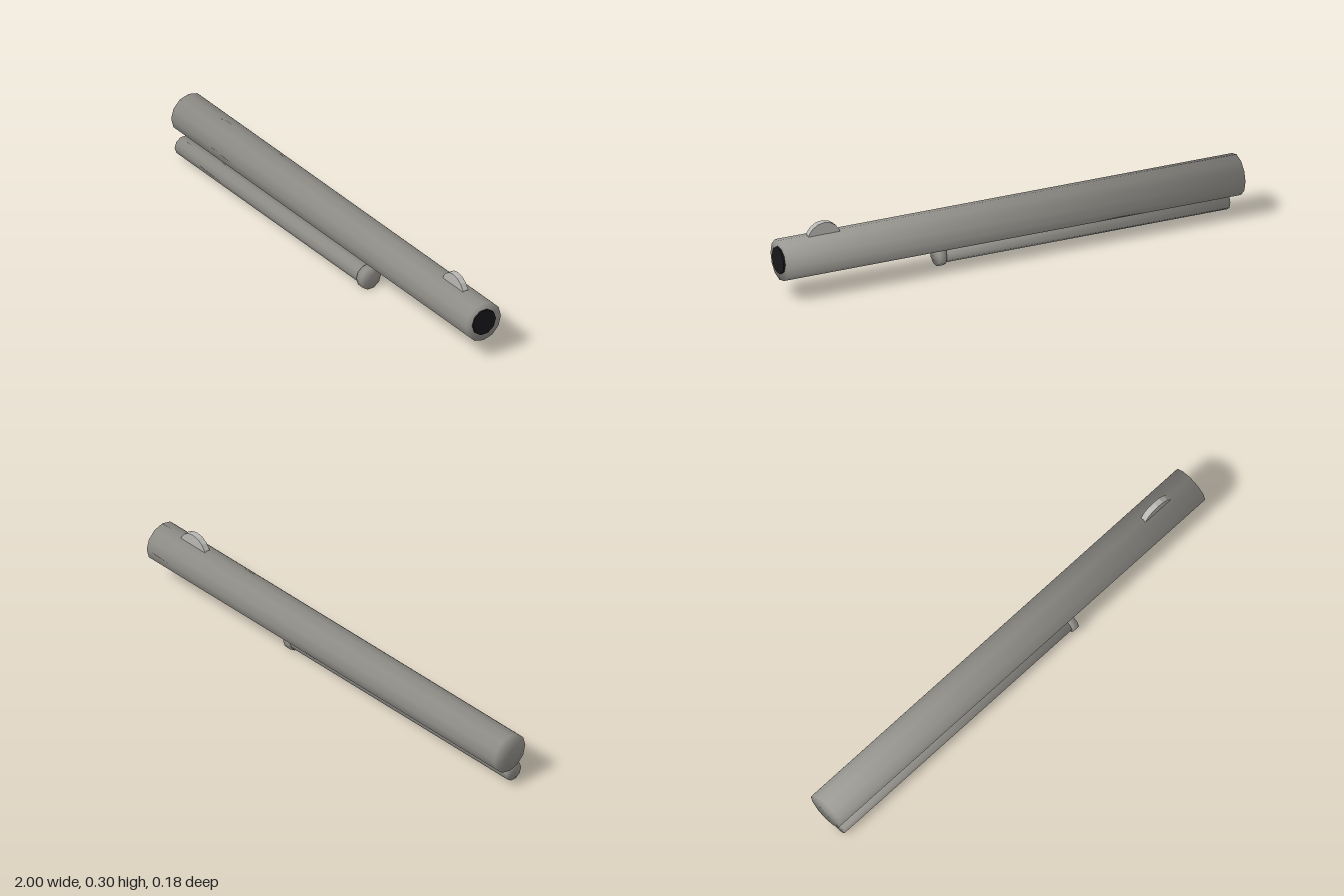
import * as THREE from 'three';
import { mergeVertices } from 'three/addons/utils/BufferGeometryUtils.js';

const steel = new THREE.MeshStandardMaterial({ color: 0x9b9993 });
const sightSteel = new THREE.MeshStandardMaterial({ color: 0xb9b8b4, flatShading: true });
const dark = new THREE.MeshStandardMaterial({ color: 0x18181b });

// Closed cylinder lying along x; rim normals lean halfway between wall and cap
function softRod(name, x0, x1, radius, sides, y, z) {
  let geometry = new THREE.CylinderGeometry(radius, radius, x1 - x0, sides);
  geometry.deleteAttribute('normal');
  geometry.deleteAttribute('uv');
  geometry = mergeVertices(geometry, 1e-5);
  geometry.computeVertexNormals();
  const { position, normal } = geometry.attributes;
  const n = new THREE.Vector3();
  for (let i = 0; i < position.count; i++) {
    n.fromBufferAttribute(position, i);
    n.set(n.x / radius, Math.sign(n.y), n.z / radius).normalize();
    normal.setXYZ(i, n.x, n.y, n.z);
  }
  geometry.rotateZ(-Math.PI / 2);
  const mesh = new THREE.Mesh(geometry, steel);
  mesh.name = name;
  mesh.position.set((x0 + x1) / 2, y, z);
  return mesh;
}

export function createModel() {
  const group = new THREE.Group();
  group.name = 'barrelAssembly';
  const axisY = 0.17, axisZ = -0.004;

  // Main barrel
  group.add(softRod('barrel', -1, 0.993, 0.085, 12, axisY, axisZ));

  // Dark bore standing slightly proud of the muzzle
  const bore = new THREE.Mesh(
    new THREE.CylinderGeometry(0.056, 0.056, 0.04, 10).rotateZ(-Math.PI / 2), dark);
  bore.name = 'bore';
  bore.position.set(0.98, axisY, axisZ);
  group.add(bore);

  // Front sight: a thin faceted disc half sunk into the barrel
  const sight = new THREE.Mesh(
    new THREE.CylinderGeometry(0.073, 0.073, 0.025, 16).rotateX(Math.PI / 2), sightSteel);
  sight.name = 'frontSight';
  sight.position.set(0.804, 0.229, axisZ);
  group.add(sight);

  // Rod slung under the barrel, with a wider knob at its end
  group.add(softRod('underRod', -0.975, 0.28, 0.041, 10, 0.048, 0.041));
  group.add(softRod('rodKnob', 0.264, 0.294, 0.05, 10, 0.048, 0.041));

  return group;
}
